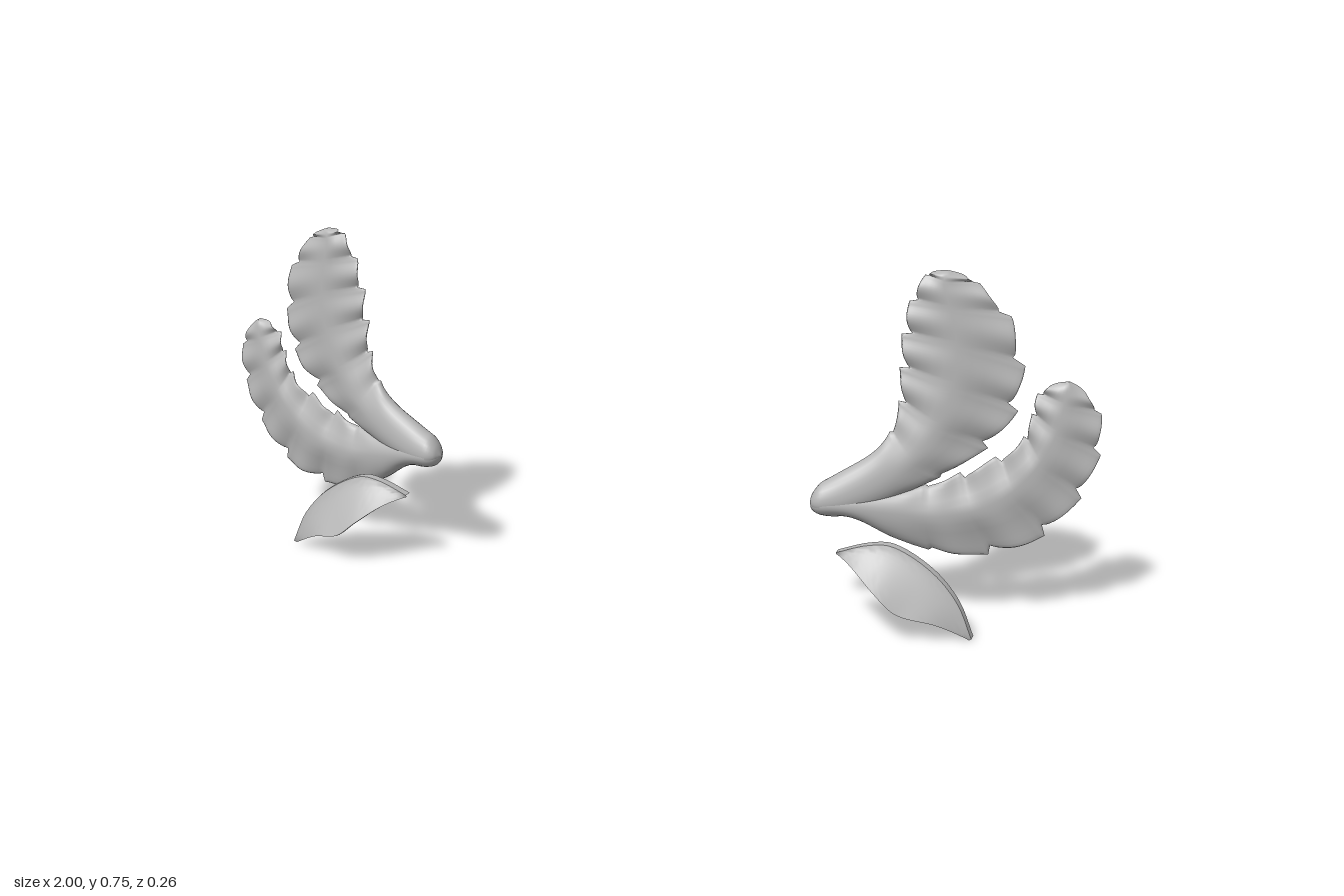
import * as THREE from 'three';
import { toCreasedNormals } from 'three/addons/utils/BufferGeometryUtils.js';

const RING = 28;

// Smooth curve through [x, y] points
const curve = (pts) => new THREE.CatmullRomCurve3(pts.map(([x, y]) => new THREE.Vector3(x, y, 0)));
const smooth = THREE.MathUtils.smoothstep;

// Closed skin over rings: point(t, angle) gives [x, y, z]; side -1 mirrors in x
function skin(steps, point, side, place) {
  const pos = [], idx = [];
  for (let i = 0; i <= steps; i++) {
    for (let k = 0; k < RING; k++) {
      const [x, y, z] = place(point(i / steps, (k / RING) * Math.PI * 2));
      pos.push(x * side, y, z);
    }
  }
  for (let i = 0; i < steps; i++) {
    for (let k = 0; k < RING; k++) {
      const n = (k + 1) % RING;
      const a = i * RING + k, b = i * RING + n, c = b + RING, d = a + RING;
      if (side > 0) idx.push(a, b, c, a, c, d);
      else idx.push(a, c, b, a, d, c);
    }
  }
  const geo = new THREE.BufferGeometry();
  geo.setAttribute('position', new THREE.Float32BufferAttribute(pos, 3));
  geo.setIndex(idx);
  geo.computeVertexNormals();
  return geo;
}

// Each plume has a rib and two edges, sampled at matching stations
const PLUMES = {
  upperPlume: {
    lobes: 9,
    rib: [[.43, .255], [.50, .27], [.58, .315], [.655, .385], [.70, .48], [.715, .58], [.70, .67], [.68, .735], [.685, .757]],
    first: [[.43, .285], [.485, .32], [.56, .375], [.595, .44], [.60, .52], [.60, .60], [.61, .68], [.64, .745], [.66, .757]],
    second: [[.435, .225], [.52, .23], [.62, .28], [.73, .345], [.815, .43], [.84, .53], [.815, .65], [.745, .73], [.71, .752]],
  },
  outerPlume: {
    lobes: 9,
    rib: [[.43, .255], [.51, .255], [.60, .245], [.70, .24], [.80, .27], [.87, .335], [.91, .41], [.925, .48], [.93, .53]],
    first: [[.43, .285], [.51, .287], [.61, .287], [.69, .31], [.765, .345], [.84, .395], [.86, .45], [.87, .50], [.905, .53]],
    second: [[.43, .225], [.515, .225], [.605, .18], [.72, .147], [.86, .17], [.95, .255], [.995, .36], [.995, .46], [.95, .525]],
  },
};
const THICK = [.036, .038, .034, .029, .026, .023, .020, .016, .010];

function plume({ lobes, rib, first, second }, side, place) {
  const ribCurve = curve(rib), edges = [curve(first), curve(second)];
  const thick = curve(THICK.map((h, i) => [i, h]));
  return skin(lobes * 12, (t, a) => {
    // Rounded ends
    const u = Math.min(1, t / .06), v = Math.min(1, (1 - t) / .04);
    const end = Math.max(.01, Math.sqrt(1 - (1 - u) ** 2) * Math.sqrt(1 - (1 - v) ** 2));
    // Toothed edge: every lobe widens forward, then drops back
    const leafy = smooth(t, .22, .45);
    const p = (t * lobes) % 1;
    const tooth = 1 + leafy * (.04 - .2 * (1 - Math.pow(p, .6)));
    const s = -Math.cos(a), across = Math.abs(s);
    const c = ribCurve.getPoint(t);
    const e = edges[s < 0 ? 0 : 1].getPoint(t);
    const w = across * end * (1 + (tooth - 1) * across);
    const x = c.x + (e.x - c.x) * w, y = c.y + (e.y - c.y) * w;
    // Round stem turning into a thin blade with a raised rib
    const round = Math.abs(Math.sin(a));
    const blade = round * (.4 + .6 * Math.exp(-((s / .5) ** 2)));
    const h = thick.getPoint(t).y * end * (round + (blade - round) * leafy);
    const fold = .006 * leafy * across * Math.sin(p * Math.PI * 2 - 1);
    const z = .036 - .27 * (x - .43) + Math.sign(Math.sin(a)) * h + fold;
    return [x, y, z];
  }, side, place);
}

// Thin leaf whose lower edge sweeps forward
function leaf(side, place) {
  const top = curve([[.50, .165], [.565, .188], [.615, .192], [.70, .148], [.757, .085], [.79, .01]]);
  const low = curve([[.50, .160], [.545, .142], [.597, .105], [.645, .066], [.715, .043], [.785, .005]]);
  const geo = skin(36, (t, a) => {
    const v = (1 - Math.cos(a)) / 2;
    const A = top.getPoint(t), B = low.getPoint(t);
    const bell = Math.pow(Math.sin(Math.PI * t), 1.3);
    const half = .010 * Math.sign(Math.sin(a)) * Math.min(1, 6 * Math.abs(Math.sin(a))) * (Math.abs(Math.sin(a)) > 1e-6 ? 1 : 0);
    const z = .068 - .008 * t - .004 * bell + .075 * bell * Math.pow(v, 1.4) + half * (1 - .4 * v);
    return [A.x + (B.x - A.x) * v, A.y + (B.y - A.y) * v, z];
  }, side, place);
  return toCreasedNormals(geo, Math.PI / 4);
}

// Turn about the stem end in the front plane, then shift
function turn(angle, dx, dy) {
  const c = Math.cos(angle), s = Math.sin(angle);
  return ([x, y, z]) => {
    const px = x - .43, py = y - .25;
    return [.43 + dx + px * c - py * s, .25 + dy + px * s + py * c, z];
  };
}

export function createModel() {
  const grey = new THREE.MeshStandardMaterial({ color: 0xb8b8b8 });
  grey.name = 'stone grey';
  const model = new THREE.Group();
  model.name = 'leafOrnaments';

  for (const side of [1, -1]) {
    const half = new THREE.Group();
    half.name = side > 0 ? 'leftOrnament' : 'rightOrnament';
    // The right ornament droops slightly more
    const place = side > 0 ? turn(0, 0, 0) : turn(-.085, -.012, 0);
    for (const [name, spec] of Object.entries(PLUMES)) {
      const mesh = new THREE.Mesh(plume(spec, side, place), grey);
      mesh.name = name;
      half.add(mesh);
    }
    const leafPlace = side > 0 ? turn(0, 0, 0) : turn(.02, -.014, 0);
    const lowLeaf = new THREE.Mesh(leaf(side, leafPlace), grey);
    lowLeaf.name = 'lowerLeaf';
    half.add(lowLeaf);
    model.add(half);
  }
  return model;
}
